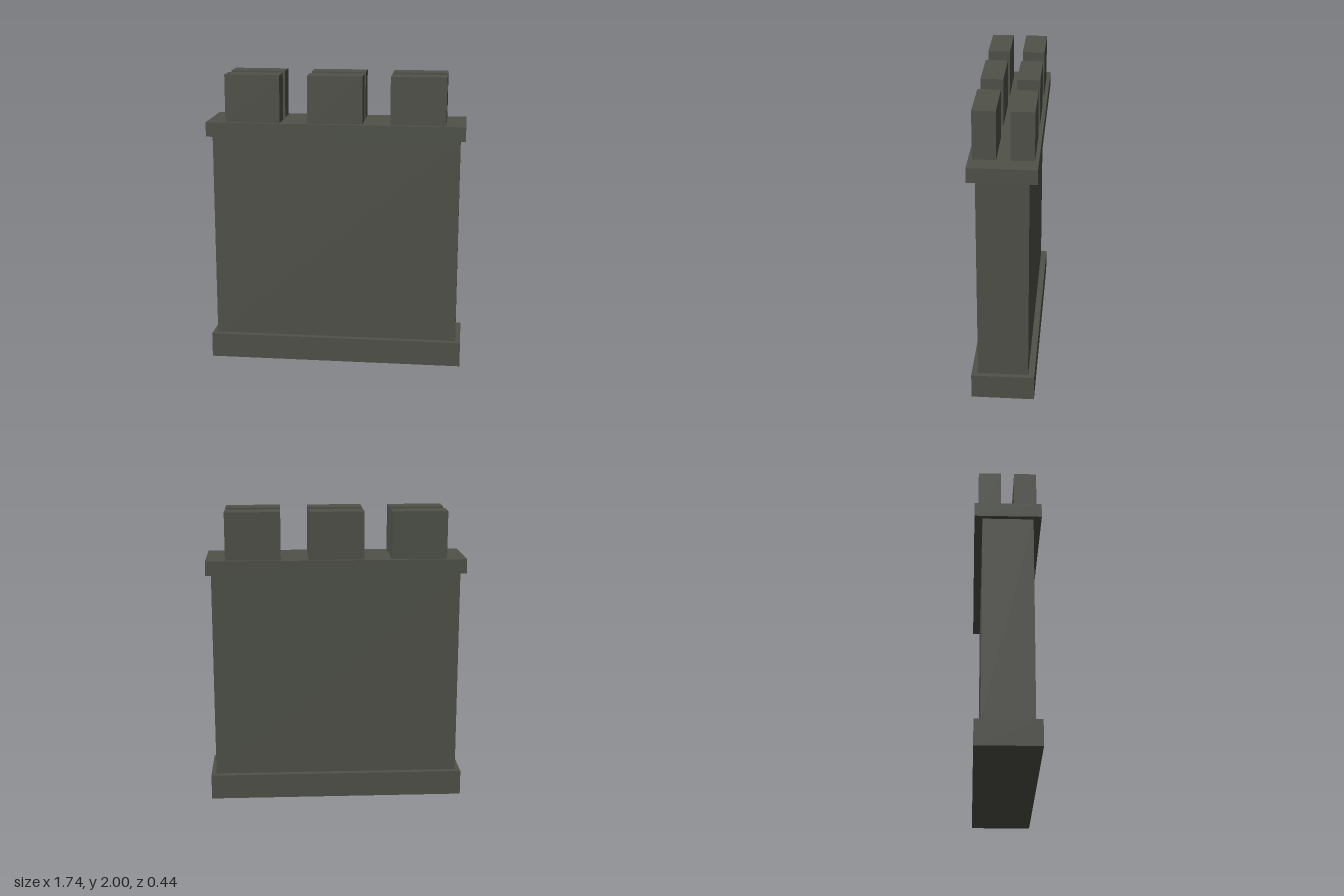
import * as THREE from 'three';

export function createModel() {
  const group = new THREE.Group();
  const stone = new THREE.MeshStandardMaterial({ color: 0x50524a });
  stone.name = 'darkStone';

  // Box spanning y0..y1, centred on x and z
  const block = (name, width, depth, y0, y1, x = 0, z = 0) => {
    const mesh = new THREE.Mesh(new THREE.BoxGeometry(width, y1 - y0, depth), stone);
    mesh.name = name;
    mesh.position.set(x, (y0 + y1) / 2, z);
    group.add(mesh);
  };

  // Wall between a plinth and a walkway slab
  block('plinth', 1.744, 0.418, 0, 0.17);
  block('wall', 1.676, 0.334, 0.17, 1.582);
  block('walkway', 1.744, 0.438, 1.582, 1.68);

  // Two rows of three battlements
  for (const [side, z] of [['front', 0.119], ['back', -0.119]]) {
    for (const [place, x] of [['Right', -0.556], ['Middle', 0], ['Left', 0.556]]) {
      block(`${side}${place}Battlement`, 0.37, 0.149, 1.68, 2, x, z);
    }
  }
  return group;
}
